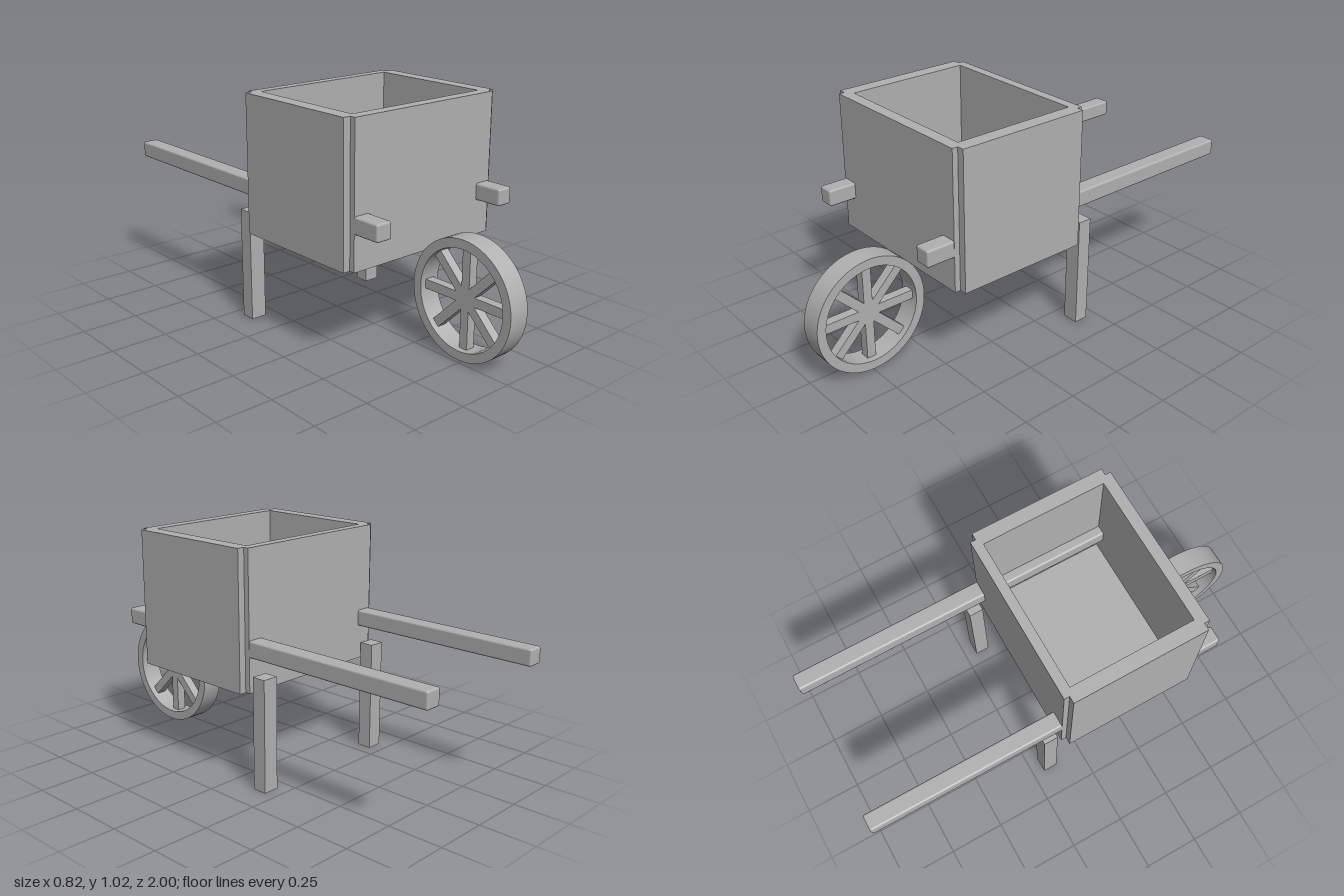
import * as THREE from 'three';
import { toCreasedNormals } from 'three/addons/utils/BufferGeometryUtils.js';
import { RoundedBoxGeometry } from 'three/addons/geometries/RoundedBoxGeometry.js';

export function createModel() {
  const model = new THREE.Group();
  model.name = 'wheelbarrow';
  const grey = new THREE.MeshStandardMaterial({ color: 0xb0b0b0 });
  grey.name = 'plain grey';

  const add = (name, geometry, parent = model) => {
    const mesh = new THREE.Mesh(geometry, grey);
    mesh.name = name;
    parent.add(mesh);
    return mesh;
  };
  // Box given by its lower and upper corners
  const block = (name, x0, x1, y0, y1, z0, z1, bevel = 0) => {
    const size = [x1 - x0, y1 - y0, z1 - z0];
    const geometry = bevel
      ? new RoundedBoxGeometry(...size, 2, bevel)
      : new THREE.BoxGeometry(...size);
    add(name, geometry).position.set((x0 + x1) / 2, (y0 + y1) / 2, (z0 + z1) / 2);
  };

  // Open tray: end panels stand proud of the side panels at the corners
  const bottom = 0.42, top = 1.025;
  block('frontPanel', -0.378, 0.378, bottom, top, 0.488, 0.54);
  block('backPanel', -0.378, 0.378, bottom, top, -0.115, -0.072);
  block('trayFloor', -0.36, 0.36, bottom, 0.465, -0.08, 0.5);

  // Mirrored sides, handles and legs
  for (const [side, s] of [['left', 1], ['right', -1]]) {
    const pair = (name, inner, outer, ...rest) =>
      block(side + name, Math.min(s * inner, s * outer), Math.max(s * inner, s * outer), ...rest);
    pair('SidePanel', 0.346, 0.41, bottom, top, -0.091, 0.515);
    pair('Handle', 0.303, 0.377, 0.572, 0.645, -1, 0.665, 0.009);
    pair('Leg', 0.304, 0.376, 0, 0.496, -0.197, -0.132);
  }

  // Spoked wheel, set to one side of the centre line
  const wheel = new THREE.Group();
  wheel.name = 'wheel';
  wheel.position.set(0.049, 0.266, 0.744);
  model.add(wheel);
  const outer = 0.256, inner = 0.216, half = 0.049;
  const section = [[inner, -half], [outer, -half], [outer, half], [inner, half], [inner, -half]]
    .map(([r, y]) => new THREE.Vector2(r, y));
  const rim = new THREE.LatheGeometry(section, 64).rotateZ(-Math.PI / 2);
  add('rim', toCreasedNormals(rim, 0.6), wheel);
  for (let i = 0; i < 4; i++) {
    const spoke = add('spokePair', new THREE.BoxGeometry(0.042, 2 * outer - 0.002, 0.04), wheel);
    spoke.rotation.x = (i * Math.PI) / 4;
  }
  return model;
}
